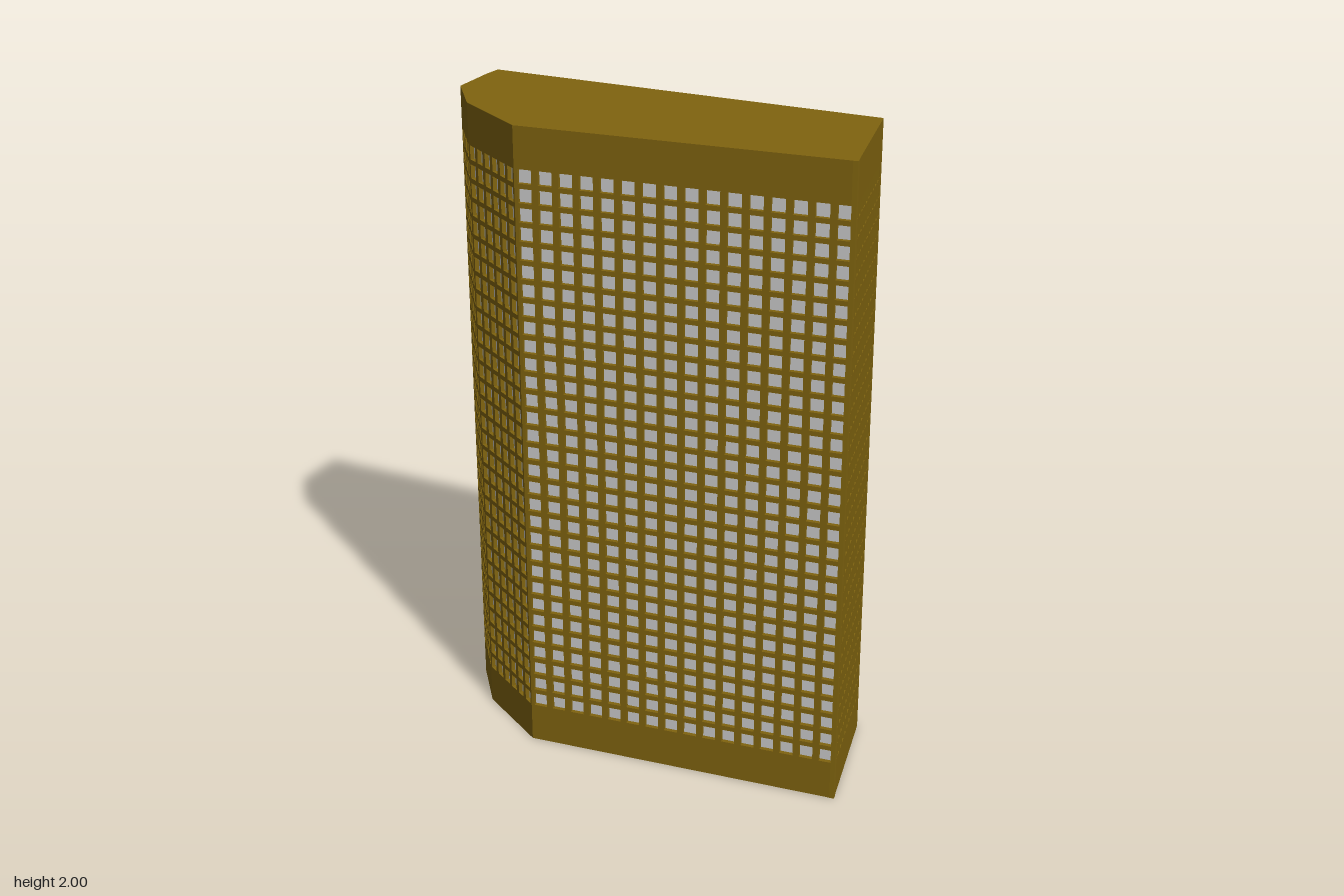
import * as THREE from 'three';
import { mergeGeometries } from 'three/addons/utils/BufferGeometryUtils.js';

// Footprint corners [x, z] with the window columns of the wall that starts there
const CORNERS = [
  [-0.465, -0.08, 16], [0.21, 0.64, 11], [0.485, 0.33, 16], [-0.05, -0.25, 10],
  [-0.27, -0.645, 1], [-0.32, -0.615, 3], [-0.44, -0.525, 4], [-0.49, -0.35, 6],
];
const NOTCH = 3; // inward corner that the flat slabs bridge over
const HEIGHT = 2, BAND = 0.125, ROWS = 31, DEPTH = 0.014;
const BAR = 0.0145, WINDOW = 0.68; // floor bar height, window share of a column

const wallMaterial = new THREE.MeshStandardMaterial({ color: 0x80640f, flatShading: true });
const slabMaterial = new THREE.MeshStandardMaterial({ color: 0x80640f, side: THREE.DoubleSide });
const glassMaterial = new THREE.MeshStandardMaterial({ color: 0xcccccc });

// Box given by its x and y ranges, with its outer face on z = 0
function bar(x0, x1, y0, y1) {
  return new THREE.BoxGeometry(x1 - x0, y1 - y0, DEPTH)
    .translate((x0 + x1) / 2, (y0 + y1) / 2, -DEPTH / 2);
}

// Lattice of bands, piers and floor bars in front of one glass sheet
function createWall(length, columns) {
  const wall = new THREE.Group();
  const top = HEIGHT - BAND;
  const parts = [bar(0, length, 0, BAND), bar(0, length, top, HEIGHT)];
  const pitch = length / columns;
  const half = pitch * (1 - WINDOW) / 2;
  for (let c = 0; c <= columns; c++) {
    const x = c * pitch;
    parts.push(bar(Math.max(0, x - half), Math.min(length, x + half), BAND, top));
  }
  const rowPitch = (top - BAND + BAR) / ROWS;
  for (let r = 1; r < ROWS; r++) {
    const y = BAND + r * rowPitch;
    parts.push(bar(0, length, y - BAR, y));
  }
  const lattice = new THREE.Mesh(mergeGeometries(parts), wallMaterial);
  lattice.name = 'windowLattice';

  const sheet = new THREE.PlaneGeometry(length, top - BAND)
    .translate(length / 2, HEIGHT / 2, -DEPTH + 0.001);
  const glass = new THREE.Mesh(sheet, glassMaterial);
  glass.name = 'windowGlass';
  wall.add(lattice, glass);
  return wall;
}

export function createModel() {
  const tower = new THREE.Group();
  tower.name = 'tower';

  // Walls, one per footprint edge
  CORNERS.forEach(([x, z, columns], i) => {
    const [nx, nz] = CORNERS[(i + 1) % CORNERS.length];
    const wall = createWall(Math.hypot(nx - x, nz - z), columns);
    wall.name = `wall${i + 1}`;
    wall.position.set(x, 0, z);
    wall.rotation.y = Math.atan2(z - nz, nx - x);
    tower.add(wall);
  });

  // Roof and base slabs
  const outline = CORNERS.filter((_, i) => i !== NOTCH)
    .map(([x, z]) => new THREE.Vector2(x, -z));
  const slab = new THREE.ShapeGeometry(new THREE.Shape(outline)).rotateX(-Math.PI / 2);
  for (const [name, y] of [['roof', HEIGHT], ['base', 0]]) {
    const mesh = new THREE.Mesh(slab, slabMaterial);
    mesh.name = name;
    mesh.position.y = y;
    tower.add(mesh);
  }
  return tower;
}
